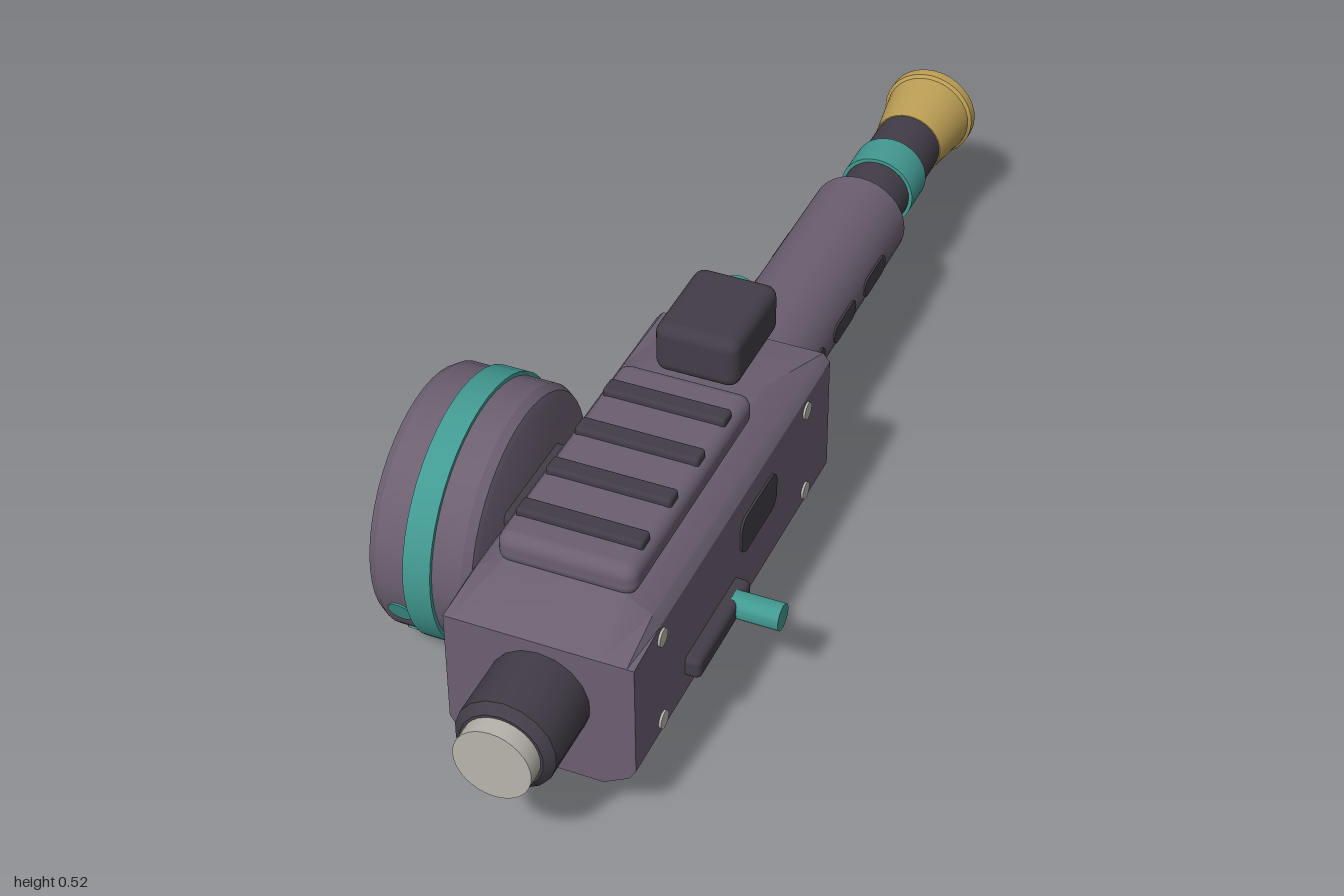
import * as THREE from 'three';
import { toCreasedNormals } from 'three/addons/utils/BufferGeometryUtils.js';
import { RoundedBoxGeometry } from 'three/addons/geometries/RoundedBoxGeometry.js';

const AX = 0.073, AY = 0.25; // barrel axis
const DRUM = { y: 0.237, z: 0.44, r: 0.231 };

function material(name, color) {
  const m = new THREE.MeshStandardMaterial({ color });
  m.name = name;
  return m;
}

// Turned solid from [radius, height] pairs, bottom to top
function turned(pairs, segments) {
  const pts = pairs.map(([r, h]) => new THREE.Vector2(r, h));
  return toCreasedNormals(new THREE.LatheGeometry(pts, segments), 0.5);
}

// Solid rod between two heights with bevelled rims
function rod(r, a, b, bevel = 0, segments = 32) {
  const p = bevel
    ? [[0, a], [r - bevel, a], [r, a + bevel], [r, b - bevel], [r - bevel, b], [0, b]]
    : [[0, a], [r, a], [r, b], [0, b]];
  return turned(p, segments);
}

// Rounded rectangle plate lying in the zy plane, centred
function sidePlate(length, height, radius, depth) {
  const w = length / 2, h = height / 2, r = radius, s = new THREE.Shape();
  s.absarc(w - r, h - r, r, 0, Math.PI / 2);
  s.absarc(-w + r, h - r, r, Math.PI / 2, Math.PI);
  s.absarc(-w + r, -h + r, r, Math.PI, Math.PI * 1.5);
  s.absarc(w - r, -h + r, r, Math.PI * 1.5, Math.PI * 2);
  const g = new THREE.ExtrudeGeometry(s, { depth, bevelEnabled: false, curveSegments: 6 });
  return g.translate(0, 0, -depth / 2).rotateY(Math.PI / 2);
}

// Chamfered cross-section carried along z, its top cut down at both ends
function receiverGeometry() {
  const half = [[0.107, 0], [0.151, 0.025], [0.1635, 0.045]];
  const bottom = 0.097, top = 0.411;
  const ring = [
    ...half.map(([x, d]) => [x, bottom + d]),
    ...half.slice().reverse().map(([x, d]) => [x, top - d]),
    ...half.map(([x, d]) => [-x, top - d]),
    ...half.slice().reverse().map(([x, d]) => [-x, bottom + d]),
  ];
  const stations = [[0, 0.382], [0.16, top], [0.73, top], [0.83, 0.357]];
  const n = ring.length, pos = [], idx = [];
  for (const [z, cut] of stations) for (const [x, y] of ring) pos.push(AX + x, Math.min(y, cut), z);
  for (let s = 0; s < stations.length - 1; s++) {
    for (let i = 0; i < n; i++) {
      const a = s * n + i, b = s * n + (i + 1) % n;
      idx.push(a, b, b + n, a, b + n, a + n);
    }
  }
  const last = (stations.length - 1) * n, c = pos.length / 3;
  pos.push(AX, AY, 0, AX, AY, 0.83);
  for (let i = 0; i < n; i++) {
    const j = (i + 1) % n;
    idx.push(c, j, i, c + 1, last + i, last + j);
  }
  const g = new THREE.BufferGeometry();
  g.setAttribute('position', new THREE.Float32BufferAttribute(pos, 3));
  g.setIndex(idx);
  return toCreasedNormals(g, 0.5);
}

export function createModel() {
  const model = new THREE.Group();
  model.name = 'blaster';
  const shell = material('shell purple grey', 0x6b5f70);
  const dark = material('dark grey', 0x423c47);
  const teal = material('teal', 0x429a92);
  const brass = material('brass', 0xbd9f55);
  const silver = material('silver', 0xb8b4ac);

  const add = (name, geometry, mat, x = 0, y = 0, z = 0) => {
    const mesh = new THREE.Mesh(geometry, mat);
    mesh.name = name;
    mesh.position.set(x, y, z);
    model.add(mesh);
    return mesh;
  };
  const alongZ = (name, g, mat) => add(name, g.rotateX(Math.PI / 2), mat, AX, AY, 0);
  const alongX = (name, g, mat, y, z) => add(name, g.rotateZ(-Math.PI / 2), mat, 0, y, z);
  const box = (name, mat, [x0, x1], [y0, y1], [z0, z1], r) =>
    add(name, new RoundedBoxGeometry(x1 - x0, y1 - y0, z1 - z0, 3, r), mat,
      (x0 + x1) / 2, (y0 + y1) / 2, (z0 + z1) / 2);

  // Receiver body and its fittings
  add('receiver', receiverGeometry(), shell);
  box('topCover', shell, [-0.047, 0.193], [0.4, 0.46], [0.24, 0.73], 0.023);
  for (let i = 0; i < 4; i++) {
    const z = 0.326 + i * 0.11;
    box('coverRib', dark, [-0.037, 0.182], [0.448, 0.472], [z - 0.018, z + 0.018], 0.007);
  }
  box('underBlock', dark, [-0.037, 0.182], [0.032, 0.13], [0.155, 0.51], 0.018);
  add('sidePort', sidePlate(0.155, 0.075, 0.025, 0.008), dark, 0.2365, 0.283, 0.328);
  for (const side of [-1, 1]) {
    for (const z of [0.11, 0.725]) {
      for (const y of [0.163, 0.34]) {
        const screw = add('screw', new THREE.CylinderGeometry(0.016, 0.016, 0.008, 16), silver,
          AX + side * 0.1635, y, z);
        screw.rotation.z = Math.PI / 2;
      }
    }
  }

  // Sight with its lens
  box('sight', dark, [-0.003, 0.15], [0.427, 0.524], [0.02, 0.215], 0.022);
  add('sightLens', rod(0.034, 0.012, 0.03).rotateX(Math.PI / 2), teal, AX, 0.478, 0);

  // Charging lever on the left side
  box('leverTrack', dark, [0.225, 0.263], [0.175, 0.216], [0.415, 0.635], 0.011);
  alongX('leverHandle', rod(0.024, 0.25, 0.337, 0, 20), teal, 0.196, 0.462);

  // Front plug
  alongZ('frontCollar', rod(0.087, 0.81, 0.967, 0.015, 18), dark);
  alongZ('frontCap', rod(0.067, 0.95, 1), silver);

  // Barrel
  alongZ('barrelShroud', rod(0.093, -0.592, 0.02, 0.008), shell);
  alongZ('barrel', rod(0.066, -0.9, -0.58), dark);
  alongZ('barrelRing', rod(0.073, -0.76, -0.682), teal);
  alongZ('muzzle', turned([
    [0, -0.9], [0.048, -0.91], [0.048, -1], [0.091, -1], [0.091, -0.98],
    [0.085, -0.975], [0.068, -0.858], [0, -0.858],
  ], 32), brass);
  for (const side of [-1, 1]) {
    for (let i = 0; i < 3; i++) {
      add('shroudSlot', sidePlate(0.11, 0.038, 0.018, 0.009), dark, AX + side * 0.0905, AY, -0.11 - i * 0.155);
    }
  }

  // Side drum
  box('drumMount', dark, [-0.14, -0.08], [0.152, 0.326], [0.333, 0.545], 0.012);
  alongX('drum', turned([
    [0, -0.322], [0.205, -0.322], [0.222, -0.317], [DRUM.r, -0.302],
    [DRUM.r, -0.145], [0.222, -0.13], [0.205, -0.125], [0, -0.125],
  ], 48), shell, DRUM.y, DRUM.z);
  alongX('drumBand', rod(0.238, -0.248, -0.198, 0, 48), teal, DRUM.y, DRUM.z);
  alongX('drumCap', rod(0.07, -0.338, -0.31), silver, DRUM.y, DRUM.z);
  add('drumRing', new THREE.TorusGeometry(0.138, 0.004, 8, 48).rotateY(Math.PI / 2), brass,
    -0.322, DRUM.y, DRUM.z);
  // Round windows around the drum rim
  for (let i = 0; i < 4; i++) {
    const a = 0.35 + i * 0.49;
    const dot = add('drumWindow', new THREE.CylinderGeometry(0.023, 0.023, 0.008, 20), teal,
      -0.268, DRUM.y - Math.sin(a) * (DRUM.r - 0.002), DRUM.z + Math.cos(a) * (DRUM.r - 0.002));
    dot.rotation.x = Math.PI / 2 + a;
  }
  return model;
}
